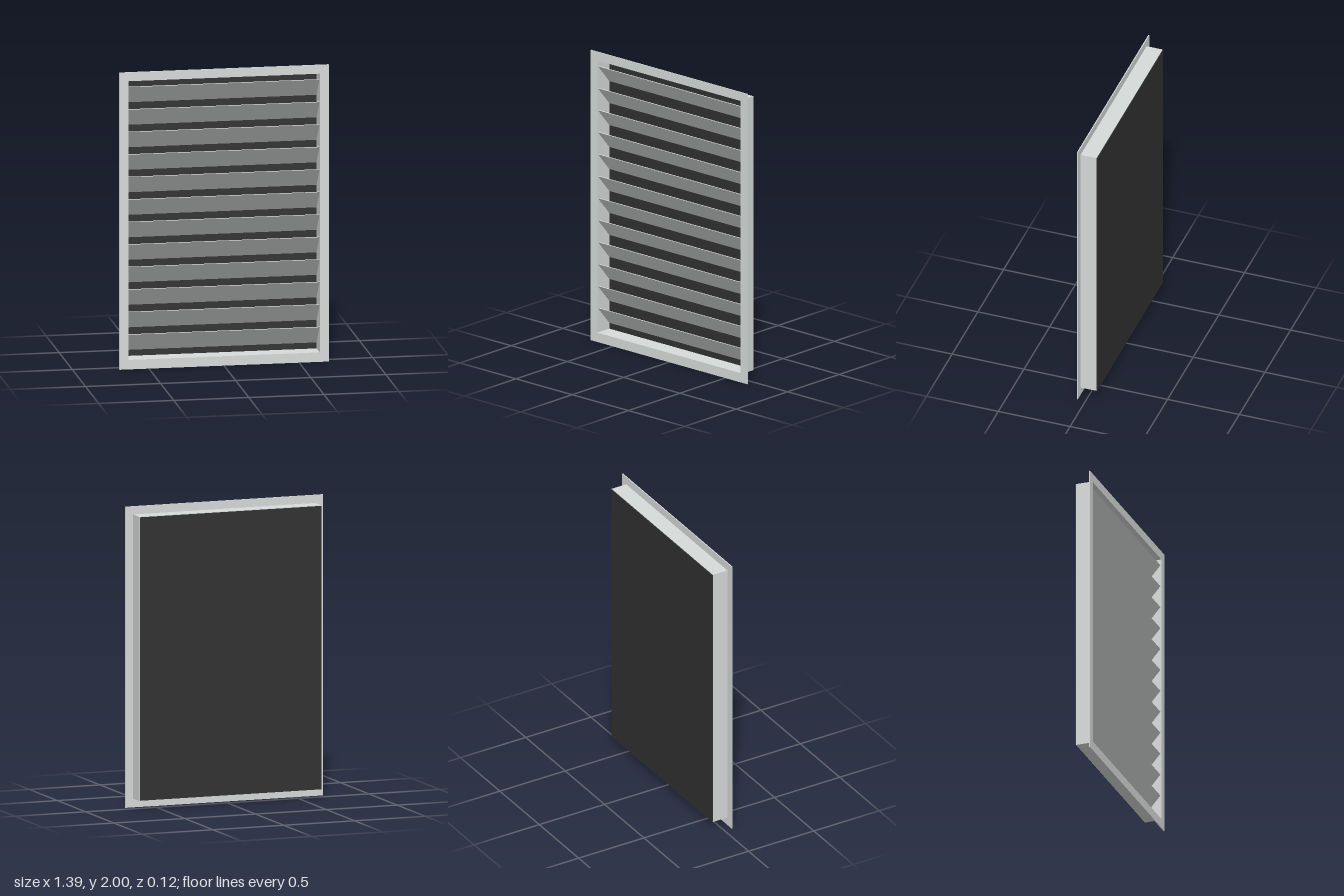
import * as THREE from 'three';

// Rectangle outline, usable as shape or hole
function rect(path, x0, y0, x1, y1) {
  path.moveTo(x0, y0);
  path.lineTo(x1, y0);
  path.lineTo(x1, y1);
  path.lineTo(x0, y1);
  path.closePath();
  return path;
}

// Rectangular ring extruded from zBack to zFront
function ring(name, outer, inner, zBack, zFront, material) {
  const shape = rect(new THREE.Shape(), ...outer);
  shape.holes.push(rect(new THREE.Path(), ...inner));
  const geometry = new THREE.ExtrudeGeometry(shape, { depth: zFront - zBack, bevelEnabled: false });
  geometry.translate(0, 0, zBack);
  const mesh = new THREE.Mesh(geometry, material);
  mesh.name = name;
  return mesh;
}

export function createModel() {
  const metal = new THREE.MeshStandardMaterial({ color: 0xd6dad9 });
  metal.name = 'pale metal';
  const darkBacking = new THREE.MeshStandardMaterial({ color: 0x313131 });
  darkBacking.name = 'dark backing';

  const group = new THREE.Group();
  group.name = 'louvreGrille';

  // Thin flange around the opening and the sleeve behind it
  const opening = [-0.637, 0.064, 0.637, 1.94];
  group.add(ring('flange', [-0.697, 0, 0.697, 2], opening, 0.054, 0.061, metal));
  group.add(ring('sleeve', [-0.643, 0.058, 0.643, 1.946], opening, -0.057, 0.054, metal));

  // Backing panel closing the rear, slightly inset from the sleeve
  const backing = new THREE.Mesh(new THREE.BoxGeometry(1.28, 1.882, 0.005), darkBacking);
  backing.name = 'backPanel';
  backing.position.set(0, 1.002, -0.0592);
  group.add(backing);

  // Twelve thin blades sloping down towards the back
  const blades = new THREE.Group();
  blades.name = 'blades';
  const drop = 0.127, depth = 0.109, thickness = 0.004;
  const geometry = new THREE.BoxGeometry(1.272, thickness, Math.hypot(drop, depth));
  for (let i = 0; i < 12; i++) {
    const blade = new THREE.Mesh(geometry, metal);
    blade.name = `blade${i + 1}`;
    blade.rotation.x = -Math.atan2(drop, depth);
    blade.position.set(0, 0.17 + i * 0.1515, -0.001);
    blades.add(blade);
  }
  group.add(blades);

  return group;
}
